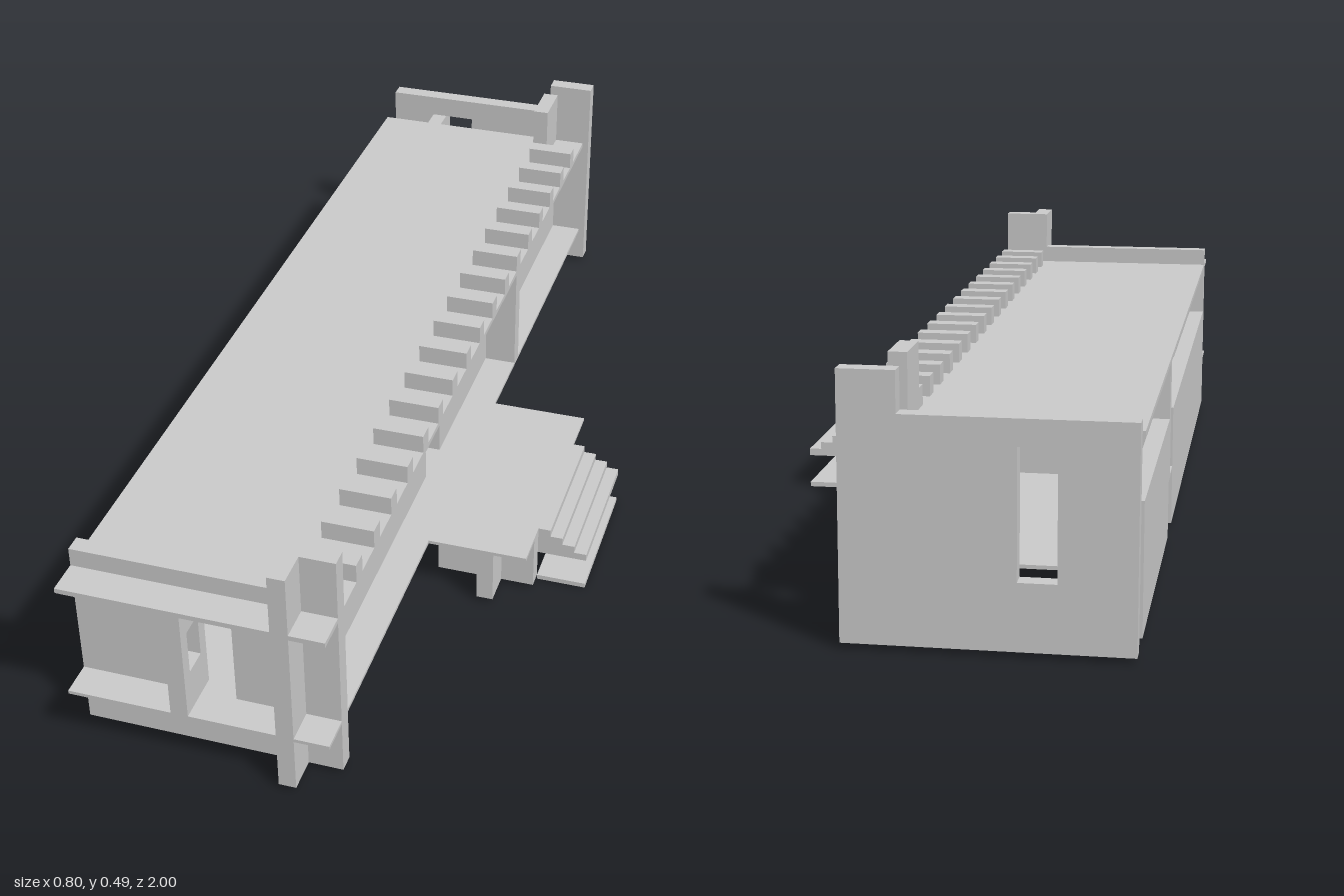
import * as THREE from 'three';

const T = 1 / 30; // wall thickness

export function createModel() {
  const model = new THREE.Group();
  model.name = 'longHouse';
  const material = new THREE.MeshStandardMaterial({ color: 0xcccccc, flatShading: true });

  function add(name, geometry) {
    const mesh = new THREE.Mesh(geometry, material);
    mesh.name = name;
    model.add(mesh);
    return mesh;
  }

  // Box given by its limits on each axis
  function box(name, x0, x1, y0, y1, z0, z1) {
    const g = new THREE.BoxGeometry(x1 - x0, y1 - y0, z1 - z0);
    g.translate((x0 + x1) / 2, (y0 + y1) / 2, (z0 + z1) / 2);
    return add(name, g);
  }

  function polygon(points) {
    return new THREE.Shape(points.map(([a, b]) => new THREE.Vector2(a, b)));
  }

  // Wall in the x/y plane, outline extruded along z
  function panelXY(name, points, holes, z0, z1) {
    const shape = polygon(points);
    holes.forEach(([a0, a1, b0, b1]) =>
      shape.holes.push(polygon([[a0, b0], [a0, b1], [a1, b1], [a1, b0]])));
    const g = new THREE.ExtrudeGeometry(shape, { depth: z1 - z0, bevelEnabled: false });
    g.translate(0, 0, z0);
    return add(name, g);
  }

  // Wall in the z/y plane with rectangular holes [z0, z1, y0, y1]
  function wallZ(name, x0, x1, y0, y1, z0, z1, holes) {
    const shape = polygon([[-z1, y0], [-z0, y0], [-z0, y1], [-z1, y1]]);
    holes.forEach(([a, b, c, d]) =>
      shape.holes.push(polygon([[-b, c], [-b, d], [-a, d], [-a, c]])));
    const g = new THREE.ExtrudeGeometry(shape, { depth: x1 - x0, bevelEnabled: false });
    g.rotateY(Math.PI / 2);
    g.translate(x0, 0, 0);
    return add(name, g);
  }

  const base = 0.01, under = 0.123, floor = 0.13, ceil = 0.36, roof = 0.37, parapet = 0.407;
  const sill = 0.215, head = 0.305;

  // Slabs
  box('floorSlab', -0.4, 0.1, under, floor, -0.9, 1);
  box('porchSlab', 0.1, 0.3, under, floor, -0.1, 0.4);
  box('roofSlab', -0.4, 0.1, ceil, roof, -0.9, 1);

  // Foundation and porch supports
  box('sideFoundation', 0, T, base, under, -0.9, 0.9);
  box('frontFoundation', -0.4, 0, base, under, 0.9, 0.9 + T);
  box('porchFoundation', 0.2, 0.2 + T, base, under, -0.1, 0.4);
  box('porchCrossWall', 0.1, 0.3, base, under, 0.3, 0.3 + T);

  // Entrance wall in two lengths beside the doorway, each with a window
  wallZ('entranceWallFront', 0, T, floor, ceil, 0.2, 0.9, [[0.825, 0.875, sill, head]]);
  wallZ('entranceWallBack', 0, T, floor, ceil, -0.9, 0.1, [[-0.575, -0.525, sill, head]]);

  // Low walls of the open side
  box('lowWallBack', -0.4, -0.4 + T, base, 0.25, -0.9, -0.3);
  box('lowWallFront', -0.4, -0.4 + T, base, 0.25, -0.2, 0.9 + T);

  // Cross wall, ending in a fin on the entrance side
  box('crossWall', -0.4, 0.1, floor, ceil, -0.3, -0.3 + T);

  // Front wall with a doorway and a projecting fin
  box('frontWallRight', -0.4, -0.2, floor, ceil, 0.9, 0.9 + T);
  box('frontWallLeft', -0.1, 0, floor, ceil, 0.9, 0.9 + T);
  wallZ('frontFin', -0.2, -0.2 + T, floor, ceil, 0.9, 1, [[0.925, 0.975, sill, head]]);

  // L-shaped corner tower at the front
  box('towerCrossLeg', 0, 0.1, base, 0.49, 0.9, 0.9 + T);
  box('towerFrontLeg', 0, T, base, 0.49, 0.9 + T, 1);
  box('frontParapet', -0.4, 0, roof, parapet, 0.9, 0.9 + T);

  // Free-standing back wall with a doorway, joined by a fin with a window
  panelXY('backWall',
    [[-0.4, base], [0.1, base], [0.1, 0.48], [0, 0.48], [0, parapet], [-0.4, parapet]],
    [[-0.267, -0.2, floor, ceil]], -1, -1 + T);
  box('backFinSill', -0.3, -0.267, floor, sill, -1 + T, -0.9);
  box('backFinHead', -0.3, -0.267, head, ceil, -1 + T, -0.9);
  box('backFinJamb', -0.3, -0.267, sill, head, -0.92, -0.9);
  box('backTower', 0, T, roof, 0.49, -0.9, -0.8);

  // Row of roof blocks
  for (let k = -8; k <= 8; k++) {
    box('roofBlock', 0, 0.1, roof, parapet, k * 0.1, k * 0.1 + T);
  }

  // Steps and landing
  const steps = [[0.3, 0.07], [0.4, 0.07]];
  for (let i = 0; i < 4; i++) {
    const x = 0.4 - i * 0.025, y = 0.085 + i * 0.015;
    steps.push([x, y], [x - 0.025, y]);
  }
  panelXY('steps', steps, [], 0, 0.3);
  box('landing', 0.3, 0.4, 0, 0.01, 0, 0.3);

  return model;
}
